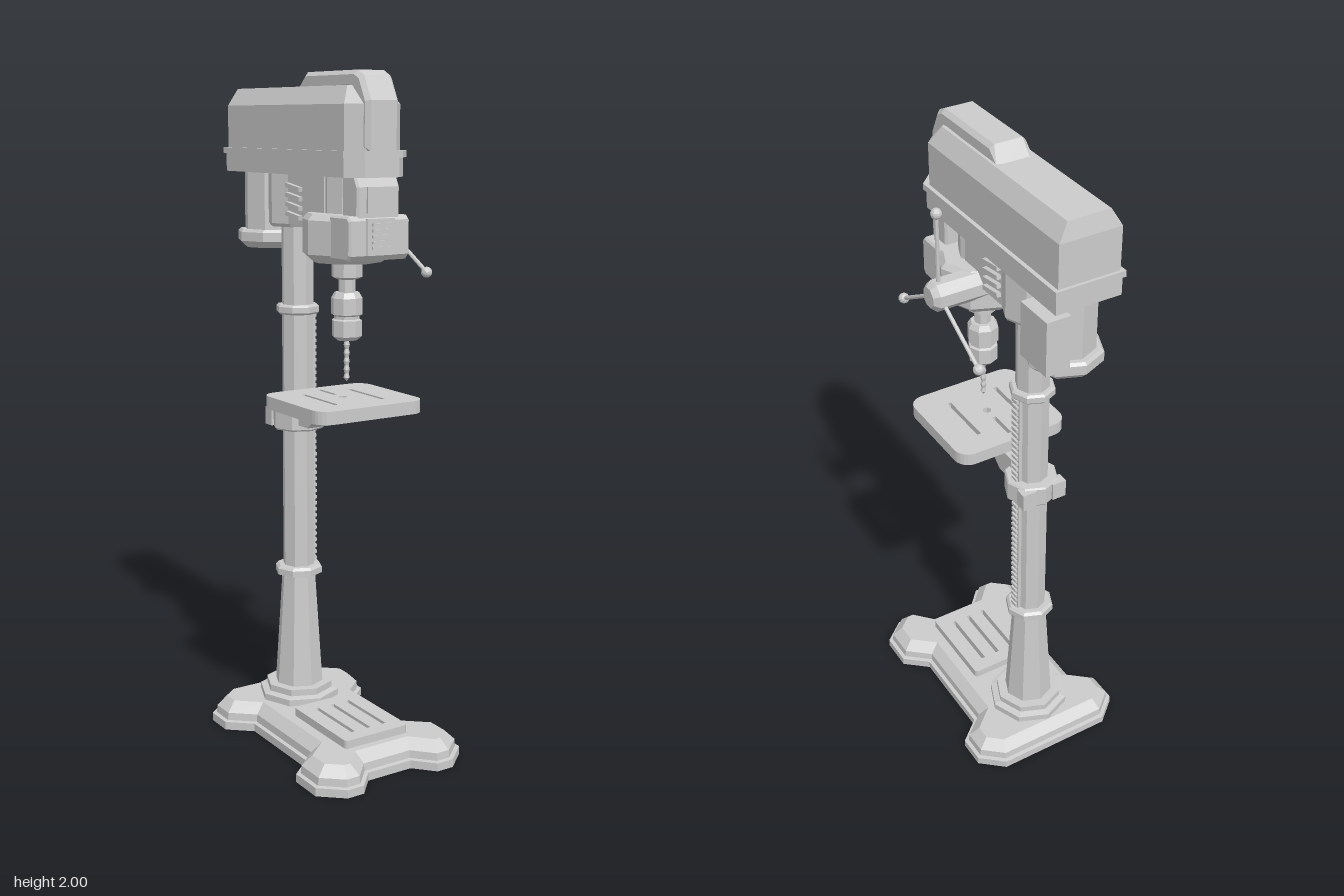
import * as THREE from 'three';

const material = new THREE.MeshStandardMaterial({ color: 0xcccccc, flatShading: true });
const COLUMN_Z = -0.15, QUILL_Z = 0.12, MOTOR_Z = -0.3;

function add(parent, name, geometry, x = 0, y = 0, z = 0) {
  const mesh = new THREE.Mesh(geometry, material);
  mesh.name = name;
  mesh.position.set(x, y, z);
  parent.add(mesh);
  return mesh;
}

// Box given by its limits on each axis
function box(parent, name, x0, x1, y0, y1, z0, z1) {
  return add(parent, name, new THREE.BoxGeometry(x1 - x0, y1 - y0, z1 - z0),
    (x0 + x1) / 2, (y0 + y1) / 2, (z0 + z1) / 2);
}

// Eight-sided turned part from [radius, y] pairs, bottom to top
function turned(parent, name, profile, z, sides = 8) {
  const points = [[0, profile[0][1]], ...profile, [0, profile.at(-1)[1]]];
  const geometry = new THREE.LatheGeometry(points.map(p => new THREE.Vector2(...p)), sides);
  return add(parent, name, geometry, 0, 0, z);
}

// Plan outline from its +x half, listed back to front as [x, z]
function mirrored(half) {
  return [...half, ...half.map(([x, z]) => [-x, z]).reverse()].map(([x, z]) => new THREE.Vector2(x, -z)).reverse();
}

// Move every edge of an outline inward by d
function inset(outline, d) {
  const n = outline.length, sign = THREE.ShapeUtils.isClockWise(outline) ? -1 : 1;
  const normal = (a, b) => new THREE.Vector2(a.y - b.y, b.x - a.x).normalize().multiplyScalar(sign);
  return outline.map((p, i) => {
    const a = normal(outline[(i + n - 1) % n], p), b = normal(p, outline[(i + 1) % n]);
    return p.clone().addScaledVector(a.clone().add(b), d / (1 + a.dot(b)));
  });
}

// Solid through stacked outlines: levels of [outline, y]
function loft(levels) {
  const flip = THREE.ShapeUtils.isClockWise(levels[0][0]);
  const rings = levels.map(([o, y]) => (flip ? [...o].reverse() : o).map(p => [p.x, y, -p.y]));
  const n = rings[0].length, out = [];
  for (let k = 0; k < rings.length - 1; k++) {
    for (let i = 0; i < n; i++) {
      const j = (i + 1) % n, a = rings[k][i], b = rings[k][j], c = rings[k + 1][j], d = rings[k + 1][i];
      out.push(...a, ...b, ...c, ...a, ...c, ...d);
    }
  }
  const cap = (r, up) => {
    for (const [a, b, c] of THREE.ShapeUtils.triangulateShape(r.map(p => new THREE.Vector2(p[0], -p[2])), [])) {
      out.push(...r[a], ...r[up ? b : c], ...r[up ? c : b]);
    }
  };
  cap(rings[0], false);
  cap(rings.at(-1), true);
  const geometry = new THREE.BufferGeometry();
  geometry.setAttribute('position', new THREE.Float32BufferAttribute(out, 3));
  geometry.computeVertexNormals();
  return geometry;
}

// Side profile of [z, y] points, extruded across x with chamfered edges
function sideProfile(points, width, bevel) {
  const geometry = new THREE.ExtrudeGeometry(new THREE.Shape(points.map(p => new THREE.Vector2(...p))), {
    depth: width - 2 * bevel, bevelEnabled: bevel > 0, bevelSegments: 1,
    bevelSize: bevel, bevelThickness: bevel, bevelOffset: -bevel,
  });
  return geometry.translate(0, 0, bevel - width / 2).rotateY(-Math.PI / 2);
}

// Flat plate with round corners, slots [x, z, length] and an optional round hole
function slottedPlate(width, length, height, radius, slots, hole) {
  const w = width / 2, l = length / 2, r = radius, q = Math.PI / 2;
  const shape = new THREE.Shape();
  [[w - r, l - r], [r - w, l - r], [r - w, r - l], [w - r, r - l]].forEach(([x, y], i) =>
    shape.absarc(x, y, r, i * q, (i + 1) * q, false));
  for (const [x, z, len] of slots) {
    const s = 0.006, h = len / 2;
    shape.holes.push(new THREE.Path([[x - s, -z - h], [x - s, -z + h], [x + s, -z + h], [x + s, -z - h]]
      .map(p => new THREE.Vector2(...p))));
  }
  if (hole) shape.holes.push(new THREE.Path().absarc(0, 0, hole, 0, 4 * q, true));
  return new THREE.ExtrudeGeometry(shape, { depth: height, bevelEnabled: false, curveSegments: 3 }).rotateX(-q);
}

// Belt cover plan with the front corners cut off
const coverPlan = (w, back, front, cut) => mirrored([[w, back], [w, front - cut], [w - cut, front]]);

function createStand(g) {
  const plan = mirrored([[0.185, -0.32], [0.255, -0.26], [0.255, -0.175], [0.185, -0.115], [0.185, 0.19],
    [0.255, 0.25], [0.255, 0.355], [0.185, 0.415], [0.13, 0.415], [0.075, 0.355]]);
  add(g, 'base', loft([[plan, 0], [plan, 0.025], [inset(plan, 0.012), 0.027],
    [inset(plan, 0.014), 0.05], [inset(plan, 0.043), 0.08]]));
  add(g, 'basePad', slottedPlate(0.22, 0.29, 0.027, 0.012,
    [-0.055, 0, 0.055].map(x => [x, 0, 0.2])), 0, 0.078, 0.145);

  turned(g, 'columnFlange', [[0.126, 0.075], [0.126, 0.1], [0.105, 0.105], [0.105, 0.125]], COLUMN_Z);
  turned(g, 'columnFoot', [[0.076, 0.12], [0.052, 0.49]], COLUMN_Z);
  turned(g, 'footRing', [[0.074, 0.483], [0.074, 0.502], [0.066, 0.51]], COLUMN_Z);
  turned(g, 'column', [[0.049, 0.48], [0.049, 1.6]], COLUMN_Z);
  turned(g, 'upperRing', [[0.06, 1.297], [0.066, 1.303], [0.066, 1.32], [0.06, 1.326]], COLUMN_Z);

  // Toothed rack on the column
  box(g, 'rackStrip', 0.035, 0.052, 0.505, 1.3, COLUMN_Z - 0.017, COLUMN_Z + 0.017);
  for (let i = 0; i < 40; i++) {
    const y = 0.515 + i * 0.0197;
    box(g, 'rackTooth', 0.05, 0.059, y, y + 0.01, COLUMN_Z - 0.013, COLUMN_Z + 0.013);
  }
}

function createTable(g) {
  add(g, 'table', slottedPlate(0.36, 0.33, 0.038, 0.045,
    [[-0.08, 0, 0.18], [0.08, 0, 0.18], [0, -0.085, 0.09]], 0.014), 0, 1.042, 0.1);
  add(g, 'tableArm', sideProfile([[0.08, 1.042], [-0.1, 1.042], [-0.1, 0.965], [-0.035, 0.965],
    [-0.01, 0.985], [0.02, 1.005], [0.08, 1.015]], 0.075, 0));
  turned(g, 'tableCollar', [[0.076, 0.945], [0.08, 0.95], [0.08, 1.005], [0.076, 1.01]], COLUMN_Z);
  for (const s of [-1, 1]) box(g, 'collarLug', s * 0.05 - 0.022, s * 0.05 + 0.022, 0.95, 1.005, -0.225, -0.19);
}

function createHead(g) {
  // Belt cover
  const lip = coverPlan(0.098, -0.405, 0.293, 0.042), band = coverPlan(0.104, -0.412, 0.3, 0.042);
  const wall = coverPlan(0.092, -0.403, 0.285, 0.042), roof = coverPlan(0.063, -0.392, 0.24, 0.025);
  add(g, 'coverLip', loft([[lip, 1.715], [lip, 1.77]]));
  add(g, 'coverBand', loft([[band, 1.768], [band, 1.786]]));
  add(g, 'beltCover', loft([[wall, 1.78], [wall, 1.91], [roof, 1.96]]));
  add(g, 'coverRidge', sideProfile([[-0.065, 1.95], [-0.02, 2], [0.235, 2], [0.265, 1.985], [0.298, 1.92],
    [0.298, 1.785], [0.2, 1.785], [0.2, 1.95]], 0.108, 0.012));

  // Casting that joins the column to the quill
  box(g, 'headBody', -0.065, 0.065, 1.57, 1.72, -0.17, 0.1);
  turned(g, 'columnSocket', [[0.082, 1.56], [0.088, 1.57], [0.088, 1.72]], COLUMN_Z);
  for (const s of [-1, 1]) {
    for (let i = 0; i < 4; i++) {
      const louver = box(g, 'louver', s * 0.068 - 0.01, s * 0.068 + 0.01, 1.59 + i * 0.027, 1.603 + i * 0.027, -0.09, -0.015);
      louver.rotation.x = 0.15;
    }
  }
  turned(g, 'quillHousing', [[0.1, 1.475], [0.13, 1.5], [0.13, 1.595], [0.115, 1.612]], QUILL_Z);
  turned(g, 'quillTube', [[0.068, 1.6], [0.068, 1.72]], QUILL_Z);

  // Front panels
  add(g, 'lowerPanel', sideProfile([[0.18, 1.49], [0.272, 1.49], [0.284, 1.505], [0.284, 1.6], [0.272, 1.612], [0.18, 1.612]], 0.2, 0.006));
  add(g, 'upperPanel', sideProfile([[0.2, 1.6], [0.277, 1.6], [0.277, 1.69], [0.262, 1.72], [0.2, 1.72]], 0.14, 0.006));
  box(g, 'panelFrame', -0.045, 0.045, 1.505, 1.605, 0.27, 0.289);
  box(g, 'namePlate', -0.04, 0.04, 1.62, 1.69, 0.27, 0.283);
  for (let i = 0; i < 5; i++) box(g, 'vent', -0.03, 0.03, 1.521 + i * 0.016, 1.529 + i * 0.016, 0.28, 0.295);

  // Motor and switch box
  turned(g, 'motor', [[0.085, 1.53], [0.085, 1.72]], MOTOR_Z);
  turned(g, 'motorCap', [[0.085, 1.488], [0.107, 1.508], [0.107, 1.535], [0.1, 1.543]], MOTOR_Z);
  box(g, 'switchBox', 0.05, 0.122, 1.54, 1.7, -0.403, -0.28);

  // Quill, chuck and bit
  turned(g, 'quill', [[0.03, 1.425], [0.045, 1.432], [0.045, 1.48]], QUILL_Z);
  turned(g, 'spindle', [[0.025, 1.37], [0.025, 1.43]], QUILL_Z);
  turned(g, 'chuck', [[0.03, 1.25], [0.044, 1.262], [0.044, 1.308], [0.037, 1.312], [0.037, 1.32],
    [0.046, 1.325], [0.046, 1.372], [0.036, 1.388]], QUILL_Z);
  const flutes = [[0.001, 1.13]];
  for (let i = 0; i < 10; i++) flutes.push([i % 2 ? 0.006 : 0.009, 1.14 + i * 0.012]);
  turned(g, 'drillBit', flutes, QUILL_Z, 6);
}

function createFeedHandle(g) {
  const handle = new THREE.Group();
  handle.name = 'feedHandle';
  handle.position.set(0, 1.568, 0.045);
  g.add(handle);
  const hub = new THREE.LatheGeometry([[0, 0.04], [0.045, 0.04], [0.045, 0.195], [0.03, 0.212], [0, 0.212]]
    .map(p => new THREE.Vector2(...p)), 8);
  add(handle, 'feedHub', hub.rotateY(Math.PI / 8).rotateZ(-Math.PI / 2));
  for (let i = 0; i < 3; i++) {
    const arm = new THREE.Group();
    arm.name = 'feedArm';
    arm.position.x = 0.18;
    arm.rotation.x = i * Math.PI * 2 / 3;
    add(arm, 'feedRod', new THREE.CylinderGeometry(0.006, 0.006, 0.22, 8), 0, 0.125, 0);
    add(arm, 'feedKnob', new THREE.SphereGeometry(0.016, 10, 8), 0, 0.244, 0);
    handle.add(arm);
  }
}

export function createModel() {
  const model = new THREE.Group();
  model.name = 'drillPress';
  for (const [name, build] of [['stand', createStand], ['tableAssembly', createTable], ['head', createHead], ['feed', createFeedHandle]]) {
    const group = new THREE.Group();
    group.name = name;
    build(group);
    model.add(group);
  }
  return model;
}
